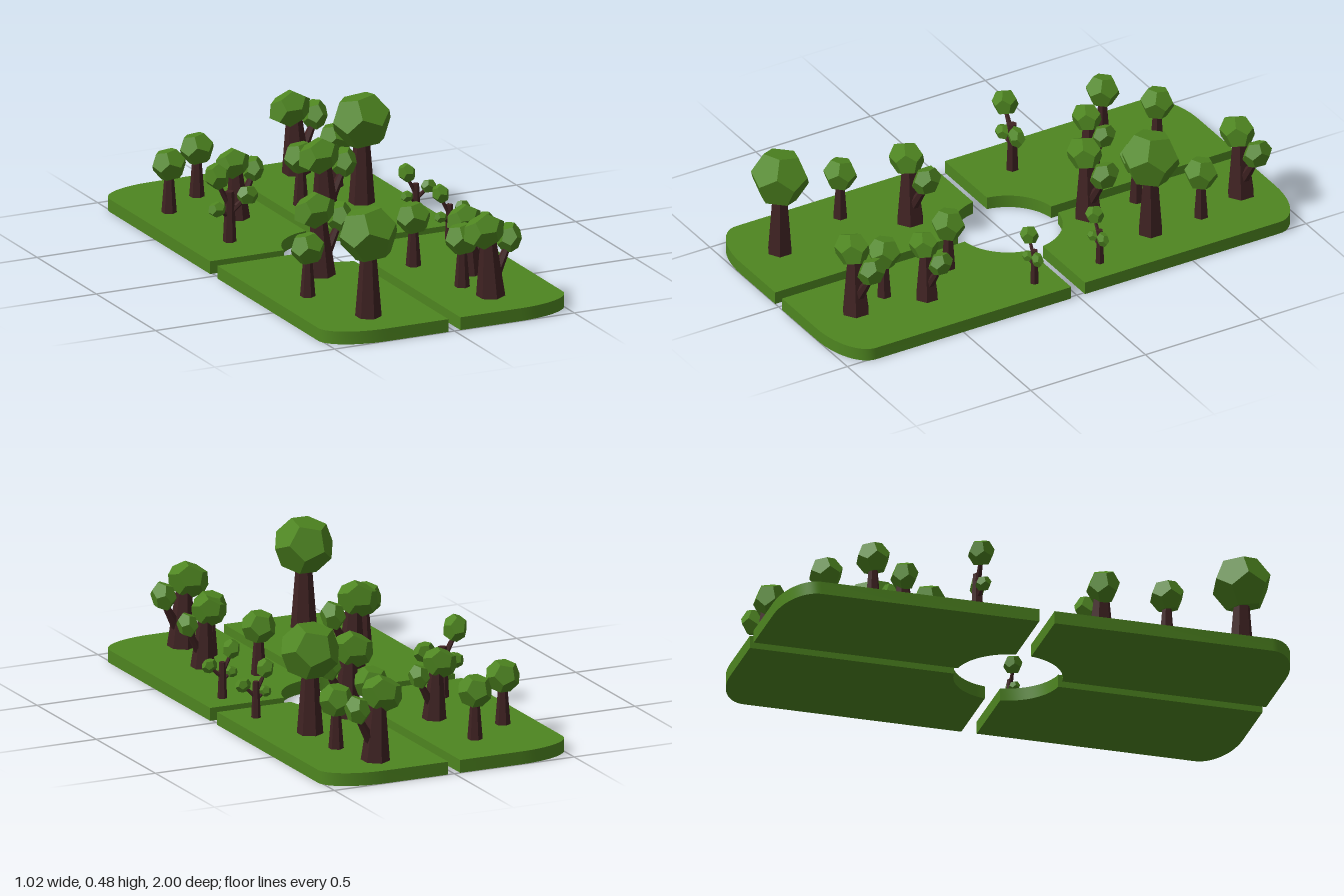
import * as THREE from 'three';
import { toCreasedNormals } from 'three/addons/utils/BufferGeometryUtils.js';

const grass = new THREE.MeshStandardMaterial({ color: 0x4e8520 });
const leaf = new THREE.MeshStandardMaterial({ color: 0x4e8520, flatShading: true });
const bark = new THREE.MeshStandardMaterial({ color: 0x3f2222, flatShading: true });
const GROUND = 0.05;

// One quarter of the lawn: rounded outer corner, round bite at the centre
function lawn(sx, sz) {
  const R = 0.205, gapX = 0.025, gapZ = 0.03, n = 14;
  const pts = [];
  const a0 = Math.asin(gapZ / R), a1 = Math.acos(gapX / R);
  for (let i = 0; i <= n; i++) {
    const a = a0 + (a1 - a0) * i / n;
    pts.push([R * Math.cos(a), R * Math.sin(a)]);
  }
  pts.push([gapX, 1]);
  for (let i = 0; i <= n; i++) {
    const a = Math.PI / 2 * (1 - i / n);
    pts.push([0.28 + 0.23 * Math.cos(a), 0.88 + 0.12 * Math.sin(a)]);
  }
  pts.push([0.51, gapZ]);
  const shape = new THREE.Shape(pts.map(([x, z]) => new THREE.Vector2(x * sx, -z * sz)));
  const geo = new THREE.ExtrudeGeometry(shape, { depth: GROUND, bevelEnabled: false });
  geo.rotateX(-Math.PI / 2);
  const mesh = new THREE.Mesh(toCreasedNormals(geo, 0.6), grass);
  mesh.name = 'lawnQuarter';
  return mesh;
}

// Tapered six-sided limb between two points
function limb(name, from, to, r0, r1) {
  const a = new THREE.Vector3(...from), b = new THREE.Vector3(...to);
  const dir = b.clone().sub(a);
  const mesh = new THREE.Mesh(new THREE.CylinderGeometry(r1, r0, dir.length(), 6), bark);
  mesh.name = name;
  mesh.position.copy(a).add(b).multiplyScalar(0.5);
  mesh.quaternion.setFromUnitVectors(new THREE.Vector3(0, 1, 0), dir.normalize());
  return mesh;
}

// Faceted leaf clump, stretched by its radii and tilted
function crown(pos, radii, tilt = 0, turn = 0.3) {
  const geo = new THREE.DodecahedronGeometry(1, 0);
  geo.rotateY(turn);
  geo.rotateX(0.35);
  geo.scale(...radii);
  const mesh = new THREE.Mesh(geo, leaf);
  mesh.name = 'crown';
  mesh.position.set(...pos);
  mesh.rotation.z = tilt;
  return mesh;
}

function tree(name, parts, x, z, s) {
  const g = new THREE.Group();
  g.name = name;
  g.add(...parts);
  g.position.set(x, GROUND, z);
  g.scale.setScalar(s);
  return g;
}

// Tree with a single round crown
const roundTree = (x, z, s) => tree('roundTree', [
  limb('trunk', [0, 0, 0], [0, 0.15, 0], 0.029, 0.017),
  crown([0, 0.187, 0], [0.068, 0.066, 0.066]),
], x, z, s);

// Tree with a forked trunk, a wide crown and a smaller one beside it
const forkedTree = (x, z, s) => tree('forkedTree', [
  limb('trunk', [0, 0, 0], [-0.01, 0.22, 0], 0.055, 0.03),
  limb('branch', [0.015, 0.07, 0], [0.085, 0.19, -0.018], 0.022, 0.012),
  crown([-0.028, 0.257, 0], [0.087, 0.07, 0.062], 0.35),
  crown([0.085, 0.212, -0.02], [0.047, 0.06, 0.06], -0.2, 0.9),
], x, z, s);

// Thin sapling with three small clumps on twigs
const sapling = (x, z, s) => tree('sapling', [
  limb('trunk', [0, 0, 0], [0, 0.14, 0], 0.018, 0.012),
  limb('twig', [0, 0.1, 0], [-0.035, 0.165, 0], 0.009, 0.006),
  limb('twig', [0, 0.07, 0], [-0.035, 0.092, 0.005], 0.008, 0.006),
  limb('twig', [0, 0.08, 0], [0.042, 0.12, 0.012], 0.009, 0.006),
  crown([-0.038, 0.187, 0], [0.034, 0.039, 0.037], 0.3),
  crown([-0.04, 0.096, 0.005], [0.026, 0.022, 0.022], 0.2),
  crown([0.046, 0.127, 0.015], [0.032, 0.029, 0.022], -0.2),
], x, z, s);

export function createModel() {
  const model = new THREE.Group();
  model.name = 'park';
  for (const sx of [-1, 1]) for (const sz of [-1, 1]) model.add(lawn(sx, sz));

  // Plantings: x, z, scale
  const plantings = [
    [roundTree, [[-0.2, -0.77, 1], [-0.38, -0.64, 1], [0.32, -0.65, 1], [0.1, -0.5, 1],
      [0.15, 0.35, 1], [0.2, 0.66, 1], [-0.37, 0.51, 1],
      [0.32, -0.43, 1.72], [-0.275, 0.83, 1.72]]],
    [forkedTree, [[0.26, -0.86, 1], [0.1, -0.29, 1], [0.245, 0.81, 1], [-0.21, 0.3, 1],
      [-0.18, -0.465, 0.84], [0.295, 0.53, 0.84]]],
    [sapling, [[0.41, 0.13, 1], [0.41, -0.155, 1], [-0.335, -0.22, 1.4]]],
  ];
  for (const [make, spots] of plantings) for (const spot of spots) model.add(make(...spot));
  return model;
}
